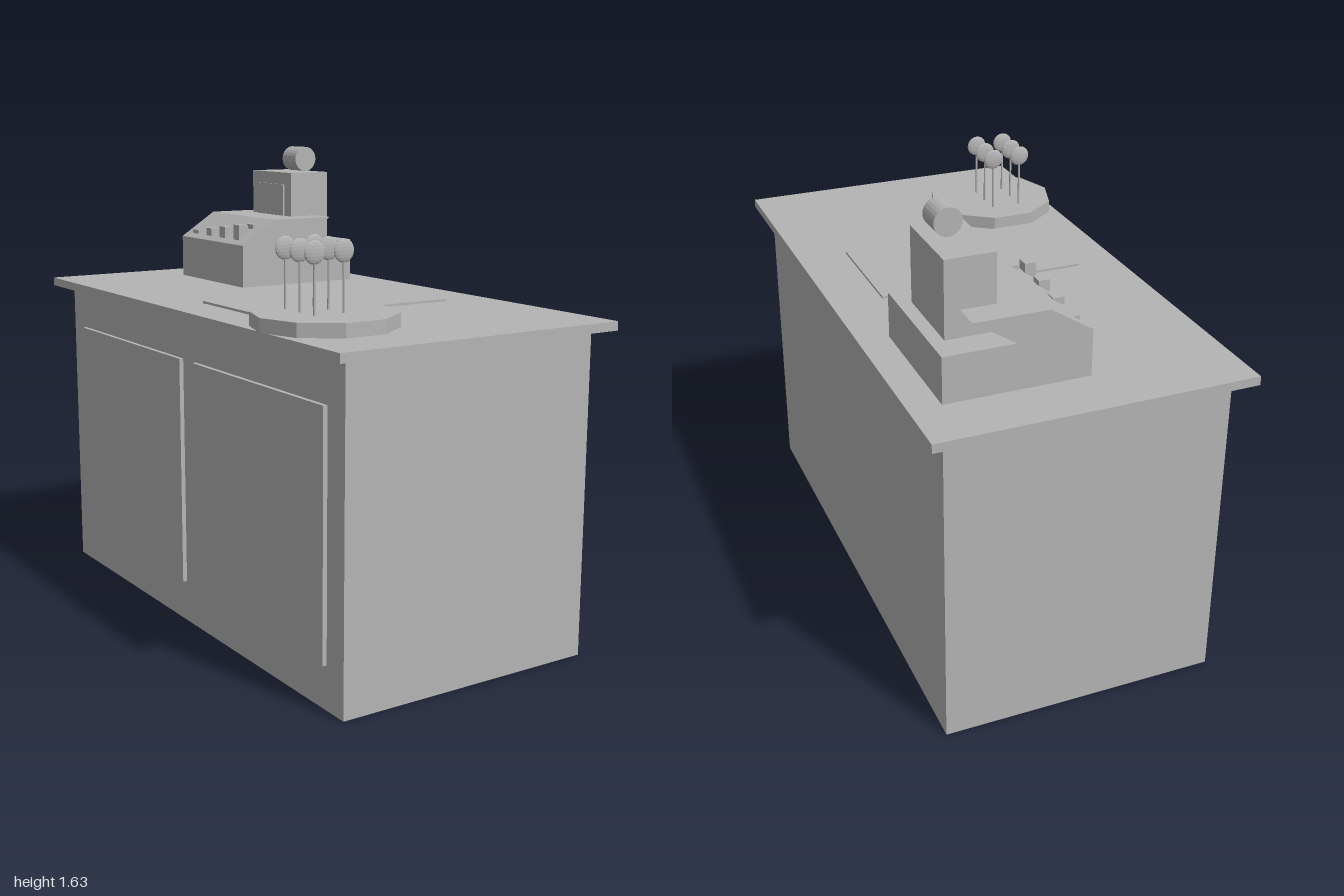
import * as THREE from 'three';

export function createModel() {
  const root = new THREE.Group();
  root.name = 'shopCounter';
  const grey = new THREE.MeshStandardMaterial({ color: 0xb4b4b4, flatShading: true });
  grey.name = 'grey';

  function add(name, geometry, x = 0, y = 0, z = 0, parent = root) {
    const mesh = new THREE.Mesh(geometry, grey);
    mesh.name = name;
    mesh.position.set(x, y, z);
    parent.add(mesh);
    return mesh;
  }
  // Box given by its minimum and maximum on each axis
  function box(name, x0, x1, y0, y1, z0, z1, parent = root) {
    return add(name, new THREE.BoxGeometry(x1 - x0, y1 - y0, z1 - z0),
      (x0 + x1) / 2, (y0 + y1) / 2, (z0 + z1) / 2, parent);
  }

  // Counter
  box('cabinet', -0.465, 0.475, 0, 1.09, -0.94, 0.94);
  box('counterTop', -0.525, 0.53, 1.09, 1.12, -1, 1);
  box('backDoor', -0.48, -0.465, 0.145, 0.94, -0.835, -0.035);
  box('frontDoor', -0.48, -0.465, 0.145, 0.94, 0.055, 0.85);
  box('counterMat', -0.375, 0.355, 1.12, 1.128, -0.055, 0.355);

  // Ten-sided stand with lollipops
  const stand = new THREE.Group();
  stand.name = 'lollipopStand';
  root.add(stand);
  const base = add('standBase', new THREE.CylinderGeometry(0.233, 0.233, 0.045, 10), -0.302, 1.1425, 0.588, stand);
  base.rotation.y = Math.PI / 2;
  const stick = new THREE.CylinderGeometry(0.004, 0.004, 0.17, 8);
  const candy = new THREE.SphereGeometry(0.037, 16, 10).scale(1, 1, 0.27);
  for (const x of [-0.372, -0.266]) {
    for (const z of [0.473, 0.555, 0.638]) {
      add('lollipopStick', stick, x, 1.245, z, stand);
      add('lollipopCandy', candy, x, 1.355, z, stand);
    }
  }

  // Cash register body with sloped keyboard and undercut back
  const register = new THREE.Group();
  register.name = 'cashRegister';
  root.add(register);
  const profile = new THREE.Shape([
    [-0.055, 1.12], [0.425, 1.12], [0.425, 1.275], [0.19, 1.275],
    [0.33, 1.365], [0.085, 1.365], [-0.055, 1.275],
  ].map(([x, y]) => new THREE.Vector2(x, y)));
  add('registerBody', new THREE.ExtrudeGeometry(profile, { depth: 0.473, bevelEnabled: false }), 0, 0, -0.804, register);

  // Display tower, screen and round topper
  box('displayTower', 0.215, 0.38, 1.275, 1.53, -0.708, -0.425, register);
  box('displayScreen', 0.209, 0.215, 1.36, 1.485, -0.663, -0.473, register);
  const topper = add('topper', new THREE.CylinderGeometry(0.046, 0.046, 0.094, 24), 0.31, 1.58, -0.518, register);
  topper.rotation.x = Math.PI / 2;

  // Keys, rising towards the front
  [-0.735, -0.627, -0.522, -0.416].forEach((z, i) => {
    const top = 1.304 + i * 0.0137;
    box('key', -0.033, 0.005, 1.27, top, z - 0.021, z + 0.021, register);
  });
  box('sideKey', 0.027, 0.065, 1.29, 1.345, -0.437, -0.395, register);

  return root;
}
